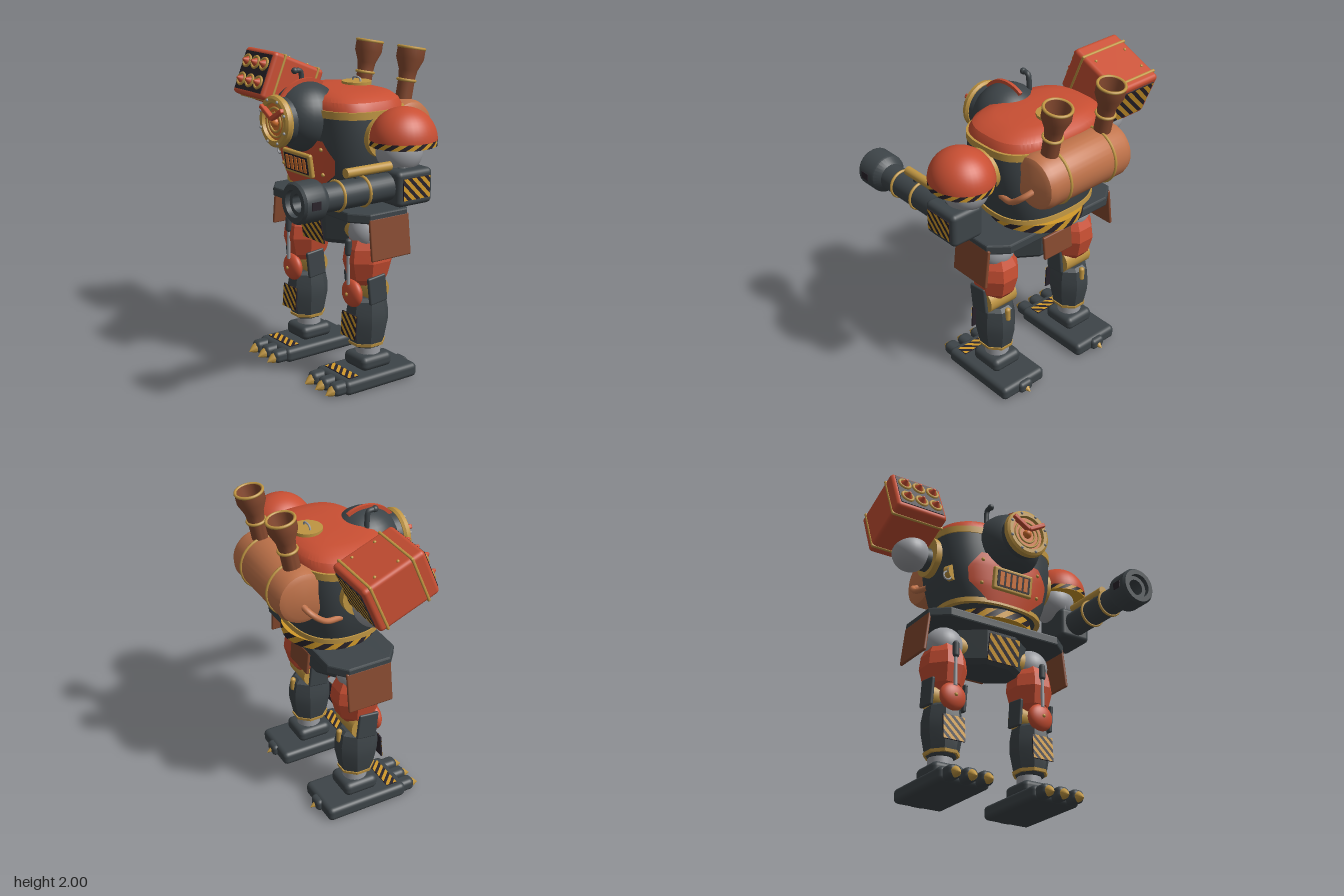
import * as THREE from 'three';
import { toCreasedNormals, mergeGeometries } from 'three/addons/utils/BufferGeometryUtils.js';
import { RoundedBoxGeometry } from 'three/addons/geometries/RoundedBoxGeometry.js';

const mat = (name, color, side = THREE.FrontSide) => Object.assign(new THREE.MeshStandardMaterial({ color, side }), { name });
const red = mat('red paint', 0xc94f33, THREE.DoubleSide), iron = mat('dark iron', 0x3d4448), brass = mat('brass', 0xbf9542),
  copper = mat('copper', 0xc0734a), rust = mat('rust brown', 0x85492f), steel = mat('light steel', 0x9b9da2),
  yellow = mat('hazard yellow', 0xd29a2a, THREE.DoubleSide), black = mat('black', 0x29232b), orange = mat('glowing orange', 0xd5722f);
const PI = Math.PI, CZ = -0.145;

function add(parent, name, geo, material, pos = [0, 0, 0], rot = [0, 0, 0]) {
  const m = new THREE.Mesh(geo, material);
  m.name = name;
  m.position.set(...pos);
  m.rotation.set(...rot);
  parent.add(m);
  return m;
}
function group(parent, name, pos = [0, 0, 0], rot = [0, 0, 0]) {
  const g = new THREE.Group();
  g.name = name;
  g.position.set(...pos);
  g.rotation.set(...rot);
  parent.add(g);
  return g;
}
const box = (w, h, d, r = 0.02) => new RoundedBoxGeometry(w, h, d, 3, r);
const ball = (r) => new THREE.SphereGeometry(r, 32, 20);
const cyl = (r, h, r2 = r, n = 28) => new THREE.CylinderGeometry(r2, r, h, n);
const ring = (r, t) => new THREE.TorusGeometry(r, t, 8, 36);
const lathe = (pts, n = 32, crease = 0.5, start = 0) =>
  toCreasedNormals(new THREE.LatheGeometry(pts.map(p => new THREE.Vector2(...p)), n, start), crease);
const tube = (pts, r) => new THREE.TubeGeometry(new THREE.CatmullRomCurve3(pts.map(p => new THREE.Vector3(...p))), 20, r, 10);

// Flat warning plate facing +z: black base with diagonal yellow stripes
function hazardPlate(parent, w, h, pos, rot, step = 0.068) {
  const g = group(parent, 'hazardPlate', pos, rot), shapes = [];
  add(g, 'plateBase', new THREE.BoxGeometry(w, h, 0.008), black);
  const clip = (poly, sign, c) => poly.flatMap((p, i) => {
    const q = poly[(i + 1) % poly.length], a = sign * (p[0] + p[1] - c), b = sign * (q[0] + q[1] - c), out = a >= 0 ? [p] : [];
    if (a * b < 0) out.push([p[0] + (q[0] - p[0]) * a / (a - b), p[1] + (q[1] - p[1]) * a / (a - b)]);
    return out;
  });
  for (let c = -(w + h) / 2; c < (w + h) / 2; c += step) {
    const corners = [[-w / 2, -h / 2], [w / 2, -h / 2], [w / 2, h / 2], [-w / 2, h / 2]];
    const poly = clip(clip(corners, 1, c), -1, c + step * 0.52);
    if (poly.length > 2) shapes.push(new THREE.Shape(poly.map(p => new THREE.Vector2(...p))));
  }
  add(g, 'plateStripes', new THREE.ShapeGeometry(shapes), yellow, [0, 0, 0.006]);
}
// Warning band around y: yellow drum with slanted black patches
function hazardRing(parent, r, h, n, pos) {
  const g = group(parent, 'hazardBand', pos), parts = [];
  add(g, 'bandBase', cyl(r, h, r, 64), yellow);
  for (let i = 0; i < n; i++) {
    const p = new THREE.CylinderGeometry(r + 0.003, r + 0.003, h, 5, 4, true, i * 2 * PI / n, PI / n);
    const a = p.attributes.position;
    for (let k = 0; k < a.count; k++) {
      const t = Math.atan2(a.getX(k), a.getZ(k)) + a.getY(k) / h * PI / n * 1.3;
      a.setX(k, (r + 0.003) * Math.sin(t));
      a.setZ(k, (r + 0.003) * Math.cos(t));
    }
    p.computeVertexNormals();
    parts.push(p);
  }
  add(g, 'bandStripes', mergeGeometries(parts), black);
  return g;
}

// Torso: a lathe profile pressed into a rounded rectangle
const HULL = [[0.0, 1.15], [0.26, 1.15], [0.325, 1.2], [0.362, 1.3], [0.392, 1.43], [0.403, 1.56], [0.4, 1.64]];
const LID = [[0.4, 1.64], [0.39, 1.69], [0.37, 1.725], [0.325, 1.752], [0.24, 1.768], [0.12, 1.773], [0, 1.774]];
const depthAt = y => 0.715 + Math.max(0, 1.5 - y) * 0.3;
const powAt = y => 2.9 - Math.max(0, 1.5 - y) * 1.4;
function pressed(pts) {
  const g = new THREE.LatheGeometry(pts.map(p => new THREE.Vector2(...p)), 72), a = g.attributes.position;
  for (let i = 0; i < a.count; i++) {
    const x = a.getX(i), y = a.getY(i), z = a.getZ(i), r = Math.hypot(x, z), t = Math.atan2(x, z), e = 2 / powAt(y);
    const f = v => Math.sign(v) * Math.abs(v) ** e;
    a.setX(i, r * f(Math.sin(t)));
    a.setZ(i, CZ + r * depthAt(y) * f(Math.cos(t)));
  }
  return toCreasedNormals(g, 0.5);
}
function torsoZ(x, y) {
  let i = 2;
  while (i < HULL.length - 1 && HULL[i][1] < y) i++;
  const [r0, y0] = HULL[i - 1], [r1, y1] = HULL[i], r = r0 + (r1 - r0) * (y - y0) / (y1 - y0), n = powAt(y);
  return CZ + r * depthAt(y) * Math.max(0, 1 - Math.abs(x / r) ** n) ** (1 / n);
}
const strap = (r, y0, y1) => pressed([[r - 0.02, y0], [r + 0.012, y0], [r + 0.012, y1], [r - 0.02, y1]]);

function buildTorso(root) {
  const g = group(root, 'torso');
  add(g, 'hull', pressed(HULL), iron);
  add(g, 'lid', pressed(LID), red);
  add(g, 'upperStrap', strap(0.395, 1.635, 1.678), brass);
  add(g, 'lowerStrap', strap(0.328, 1.185, 1.215), brass);
  hazardRing(g, 0.28, 0.055, 14, [0, 1.128, CZ]);
  // Curved belly plate
  const belly = new THREE.PlaneGeometry(2, 2, 20, 14), a = belly.attributes.position;
  for (let i = 0; i < a.count; i++) {
    const v = (a.getY(i) + 1) / 2, y = 1.2 + 0.3 * v;
    const w = v < 0.35 ? 0.15 + 0.12 * v / 0.35 : v < 0.66 ? 0.27 + 0.015 * (v - 0.35) / 0.31 : 0.285 - 0.075 * (v - 0.66) / 0.34;
    const x = a.getX(i) * w;
    a.setXYZ(i, x, y, torsoZ(x, y) + 0.014);
  }
  belly.computeVertexNormals();
  add(g, 'bellyPlate', belly, red);
  for (const s of [-1, 1]) for (const y of [1.3, 1.45])
    add(g, 'rivet', ball(0.012), brass, [s * 0.2, y, torsoZ(0.2, y) + 0.014]);
  const grille = group(g, 'grille', [0, 1.34, torsoZ(0, 1.34) + 0.02], [0.16, 0, 0]);
  add(grille, 'grilleFrame', box(0.28, 0.145, 0.03, 0.012), brass);
  add(grille, 'grilleOpening', new THREE.BoxGeometry(0.235, 0.105, 0.008), black, [0, 0, 0.014]);
  for (let i = -2; i <= 2; i++) add(grille, 'grilleBar', new THREE.BoxGeometry(0.028, 0.085, 0.008), orange, [i * 0.043, 0, 0.018]);
  // Top hatch
  add(g, 'hatch', cyl(0.09, 0.02), brass, [0, 1.778, -0.27]);
  add(g, 'hatchHandle', tube([[-0.04, 0, 0], [-0.03, 0.02, 0], [0.03, 0.02, 0], [0.04, 0, 0]], 0.006), steel, [0, 1.786, -0.27]);
  // Shoulder flanges and gauge
  for (const s of [-1, 1]) {
    add(g, 'shoulderFlange', cyl(0.125, 0.045), brass, [s * 0.405, 1.53, -0.15], [0, 0, PI / 2]);
    add(g, 'shoulderAxle', cyl(0.075, 0.14), iron, [s * 0.46, 1.51, -0.15], [0, 0, PI / 2]);
  }
  add(g, 'gauge', cyl(0.048, 0.04), brass, [-0.35, 1.37, 0.01], [PI / 2, 0, -0.4]);
  add(g, 'gaugeFace', cyl(0.034, 0.008), steel, [-0.358, 1.37, 0.03], [PI / 2, 0, -0.4]);
  add(g, 'pullRing', ring(0.025, 0.006), steel, [-0.385, 1.335, 0.03]);
}

function buildHead(root) {
  const g = group(root, 'head', [0, 1.61, 0.1]);
  add(g, 'skull', ball(0.208), iron);
  add(g, 'faceCollar', cyl(0.14, 0.11), iron, [0, -0.005, 0.15], [PI / 2, 0, 0]);
  add(g, 'faceRing', lathe([[0.105, 0], [0.145, 0], [0.155, 0.015], [0.15, 0.04], [0.135, 0.05], [0.112, 0.05], [0.105, 0]]), brass, [0, -0.005, 0.19], [PI / 2, 0, 0]);
  add(g, 'eyeDisc', cyl(0.11, 0.02), orange, [0, -0.005, 0.208], [PI / 2, 0, 0]);
  for (const r of [0.085, 0.055]) add(g, 'eyeRing', ring(r, 0.007), brass, [0, -0.01, 0.22]);
  add(g, 'pupil', ball(0.028), orange, [0, -0.01, 0.222]);
  for (let i = 0; i < 8; i++) {
    const t = (i + 0.5) * PI / 4;
    add(g, 'ringBolt', ball(0.009), steel, [0.13 * Math.cos(t), 0.13 * Math.sin(t) - 0.005, 0.241]);
  }
  for (const s of [-1, 1]) add(g, 'brow', box(0.13, 0.028, 0.035, 0.008), red, [s * 0.054, 0.045, 0.243], [0, 0, s * 0.52]);
  // Crest fin over the skull
  const fin = new THREE.Shape();
  fin.absarc(0, 0, 0.228, 0.65, 2.1, false);
  fin.absarc(0, 0, 0.195, 2.1, 0.65, true);
  const finGeo = new THREE.ExtrudeGeometry(fin, { depth: 0.02, bevelEnabled: false, curveSegments: 24 });
  add(g, 'crest', finGeo.translate(0, 0, -0.01), red, [0, 0, 0], [0, -PI / 2, 0]);
  add(g, 'periscope', tube([[-0.12, 0.13, -0.05], [-0.12, 0.2, -0.05], [-0.12, 0.25, -0.04], [-0.12, 0.255, 0]], 0.016), iron);
  add(g, 'periscopeLens', ball(0.02), iron, [-0.12, 0.255, 0]);
}

function buildBoiler(root) {
  const g = group(root, 'boiler');
  add(g, 'tank', lathe([[0, -0.32], [0.12, -0.32], [0.15, -0.305], [0.163, -0.27], [0.163, 0.27], [0.15, 0.305], [0.12, 0.32], [0, 0.32]], 36, 0.7), copper, [0, 1.53, -0.45], [0, 0, PI / 2]);
  for (const s of [-1, 1]) {
    add(g, 'tankBand', ring(0.164, 0.009), brass, [s * 0.17, 1.53, -0.45], [0, PI / 2, 0]);
    add(g, 'feedPipe', tube([[s * 0.28, 1.5, -0.47], [s * 0.36, 1.46, -0.44], [s * 0.38, 1.4, -0.36], [s * 0.36, 1.38, -0.25]], 0.018), copper);
    const c = group(g, 'chimney', [s * 0.2, 1.61, -0.455], [-0.19, 0, 0]);
    add(c, 'stack', lathe([[0.05, 0], [0.05, 0.2], [0.056, 0.25], [0.084, 0.32], [0.084, 0.385], [0.07, 0.385], [0.052, 0.27], [0, 0.27]]), rust);
    add(c, 'stackRim', ring(0.079, 0.009), brass, [0, 0.383, 0], [PI / 2, 0, 0]);
    add(c, 'stackCollar', ring(0.053, 0.009), brass, [0, 0.19, 0], [PI / 2, 0, 0]);
  }
}

function buildCannonArm(root) {
  const g = group(root, 'cannonArm');
  add(g, 'shoulderBall', ball(0.135), steel, [0.54, 1.47, -0.16]);
  const dome = new THREE.SphereGeometry(0.185, 36, 14, 0, 2 * PI, 0, PI / 2);
  add(g, 'shoulderDome', dome, red, [0.57, 1.54, -0.165]).scale.z = 1.07;
  hazardRing(g, 0.182, 0.034, 14, [0.57, 1.525, -0.165]).scale.z = 1.07;
  add(g, 'upperArm', tube([[0.55, 1.46, -0.14], [0.58, 1.4, -0.13], [0.61, 1.34, -0.14]], 0.06), iron);
  add(g, 'armPiston', tube([[0.53, 1.47, -0.04], [0.545, 1.42, -0.05], [0.56, 1.35, -0.07]], 0.014), steel);
  add(g, 'housing', box(0.215, 0.205, 0.25, 0.03), iron, [0.61, 1.29, -0.14]);
  hazardPlate(g, 0.19, 0.125, [0.72, 1.29, -0.14], [0, PI / 2, 0], 0.06);
  add(g, 'barrel', lathe([[0.08, -0.05], [0.08, 0.44], [0.112, 0.475], [0.116, 0.49], [0.116, 0.605], [0.105, 0.62], [0.075, 0.62], [0.075, 0.59], [0.05, 0.59], [0.05, 0.5], [0, 0.5]]), iron, [0.61, 1.295, 0], [PI / 2, 0, 0]);
  for (const z of [0.16, 0.335]) add(g, 'barrelRing', ring(0.082, 0.009), brass, [0.61, 1.295, z]);
  for (const s of [-1, 1]) add(g, 'muzzleVent', new THREE.BoxGeometry(0.008, 0.045, 0.06), black, [0.61 + s * 0.114, 1.295, 0.55]);
  add(g, 'gasTube', cyl(0.027, 0.31), brass, [0.61, 1.41, 0.12], [PI / 2, 0, 0]);
  add(g, 'gasTubeMount', box(0.03, 0.06, 0.03, 0.006), iron, [0.61, 1.375, 0.2]);
}

function buildRocketArm(root) {
  const g = group(root, 'rocketArm');
  add(g, 'shoulderBall', ball(0.115), steel, [-0.545, 1.52, -0.15]);
  add(g, 'launcherMount', cyl(0.06, 0.12), iron, [-0.58, 1.6, -0.13]);
  const l = group(g, 'launcher', [-0.614, 1.72, -0.115], [-0.39, 0, 0]);
  add(l, 'launcherBox', box(0.342, 0.305, 0.4, 0.025), red);
  for (const z of [-0.15, 0.12]) add(l, 'launcherBand', box(0.352, 0.315, 0.018, 0.008), brass, [0, 0, z]);
  add(l, 'launcherFace', new THREE.BoxGeometry(0.295, 0.25, 0.008), black, [0, 0, 0.2]);
  for (const x of [-1, 0, 1]) for (const y of [-1, 1]) {
    add(l, 'tubeRing', ring(0.036, 0.009), brass, [x * 0.096, y * 0.06, 0.208]);
    add(l, 'rocketTip', cyl(0.032, 0.04, 0.006), red, [x * 0.096, y * 0.06, 0.222], [PI / 2, 0, 0]);
  }
  hazardPlate(l, 0.27, 0.23, [0, 0, -0.202], [0, PI, 0]);
  for (const x of [-0.12, 0.12]) for (const z of [-0.09, 0.06]) add(l, 'rivet', ball(0.009), brass, [x, 0.153, z]);
}

function buildPelvis(root) {
  const g = group(root, 'pelvis');
  const o = [[0.38, 0.21], [0.48, 0.13], [0.48, -0.13], [0.38, -0.21], [-0.38, -0.21], [-0.48, -0.13], [-0.48, 0.13], [-0.38, 0.21]];
  const deck = new THREE.ExtrudeGeometry(new THREE.Shape(o.map(p => new THREE.Vector2(...p)).reverse()), { depth: 0.04, bevelSize: 0.01, bevelThickness: 0.01, bevelSegments: 2 });
  add(g, 'hipDeck', deck, iron, [0, 1.055, -0.135], [-PI / 2, 0, 0]);
  add(g, 'pelvisBlock', lathe([[0, 0.84], [0.2, 0.84], [0.235, 0.87], [0.27, 1.05], [0, 1.05]], 8, 0.3, PI / 8), iron, [0, 0, -0.055]).scale.z = 0.7;
  g.getObjectByName('pelvisBlock').position.z = -0.135;
  hazardPlate(g, 0.215, 0.165, [0, 0.925, 0.06], [0.18, 0, 0]);
  for (const s of [-1, 1]) add(g, 'sideSkirt', box(0.02, 0.25, 0.29, 0.008), rust, [s * 0.495, 0.95, -0.14], [0, 0, s * 0.12]);
  add(g, 'backSkirt', box(0.22, 0.15, 0.02, 0.008), rust, [0, 0.945, -0.335], [0.1, 0, 0]);
}

function buildLeg(root, s) {
  const g = group(root, s > 0 ? 'leftLeg' : 'rightLeg', [s * 0.31, 0, -0.125]);
  add(g, 'hipBall', ball(0.118), steel, [0, 0.94, 0]);
  add(g, 'hipAxle', cyl(0.085, 0.12), brass, [-s * 0.09, 0.95, 0], [0, 0, PI / 2]);
  add(g, 'thigh', lathe([[0, 0.63], [0.085, 0.63], [0.115, 0.67], [0.142, 0.78], [0.132, 0.86], [0.105, 0.915], [0, 0.915]], 8, 0.3, PI / 8), red).scale.z = 1.12;
  add(g, 'thighCylinder', new THREE.CapsuleGeometry(0.02, 0.07, 6, 12), iron, [0, 0.87, 0.145]);
  add(g, 'thighRod', cyl(0.011, 0.2), steel, [0, 0.74, 0.145]);
  // Knee
  add(g, 'kneeAxle', cyl(0.075, 0.2), brass, [0, 0.6, -0.01], [0, 0, PI / 2]);
  add(g, 'kneeCap', ball(0.086), red, [0, 0.58, 0.115]).scale.z = 0.5;
  add(g, 'kneeBolt', ball(0.012), brass, [0, 0.58, 0.155]);
  for (const k of [-1, 1]) add(g, 'kneeGuard', box(0.024, 0.17, 0.13, 0.01), iron, [k * 0.112, 0.615, 0.015], [0.12, 0, 0]);
  // Shin and ankle
  add(g, 'shin', lathe([[0, 0.23], [0.08, 0.23], [0.1, 0.26], [0.122, 0.38], [0.122, 0.45], [0.108, 0.53], [0.085, 0.55], [0, 0.55]], 8, 0.3, PI / 8), iron).scale.z = 1.1;
  hazardPlate(g, 0.145, 0.15, [0, 0.38, 0.137], [-0.06, 0, 0], 0.055);
  add(g, 'ankleRing', lathe([[0.09, 0.245], [0.104, 0.245], [0.107, 0.263], [0.09, 0.263]], 8, 0.3, PI / 8), brass).scale.z = 1.1;
  add(g, 'calfPipe', new THREE.CapsuleGeometry(0.018, 0.06, 6, 12), brass, [0, 0.51, -0.115]);
  add(g, 'ankle', cyl(0.075, 0.08), steel, [0, 0.205, -0.01]);
  // Foot with three front claws and a heel claw
  add(g, 'instep', box(0.21, 0.09, 0.225, 0.035), iron, [0, 0.14, -0.01]);
  add(g, 'sole', box(0.33, 0.09, 0.54, 0.03), iron, [0, 0.05, 0.0]);
  hazardPlate(g, 0.24, 0.07, [0, 0.096, 0.19], [-PI / 2, 0, 0], 0.055);
  for (const x of [-0.105, 0, 0.105]) {
    add(g, 'toe', box(0.085, 0.08, 0.16, 0.03), iron, [x, 0.05, 0.265]);
    add(g, 'claw', lathe([[0, -0.03], [0.034, -0.03], [0.038, 0], [0.026, 0.035], [0, 0.075]], 14, 0.7), brass, [x, 0.048, 0.318], [PI / 2 + 0.3, 0, 0]);
  }
  add(g, 'heel', box(0.1, 0.075, 0.06, 0.025), iron, [0, 0.05, -0.265]);
  add(g, 'heelClaw', lathe([[0, -0.03], [0.034, -0.03], [0.036, 0], [0, 0.065]], 14, 0.7), brass, [0, 0.048, -0.26], [-PI / 2 - 0.3, 0, 0]);
}

export function createModel() {
  const model = new THREE.Group();
  model.name = 'boilerWalker';
  const root = group(model, 'walker', [0.015, 0, 0]);
  [buildTorso, buildHead, buildBoiler, buildCannonArm, buildRocketArm, buildPelvis].forEach(build => build(root));
  for (const s of [-1, 1]) buildLeg(root, s);
  return model;
}
